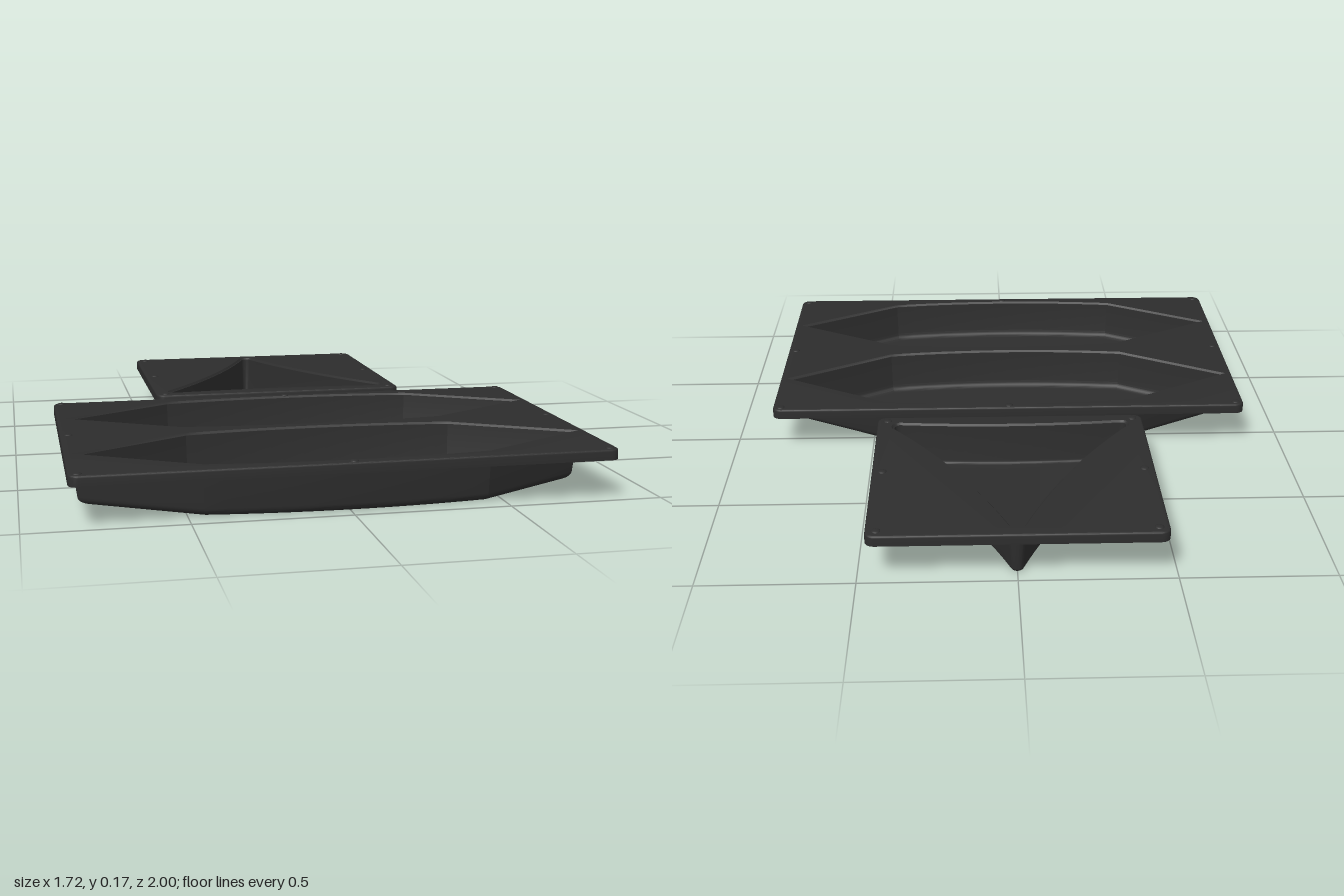
import * as THREE from 'three';
import { toCreasedNormals } from 'three/addons/utils/BufferGeometryUtils.js';

// Outlines are counter-clockwise plan points (x, y), where y is -z in the model.
const V = (x, y) => new THREE.Vector2(x, y);
const normalOf = (d) => V(d.y, -d.x).normalize();

// Moves an outline outward by d with mitred corners.
function offset(pts, d) {
  const n = pts.length;
  return pts.map((p, i) => {
    const a = normalOf(p.clone().sub(pts[(i + n - 1) % n]));
    const b = normalOf(pts[(i + 1) % n].clone().sub(p));
    const k = d / (1 + a.dot(b));
    return V(p.x + (a.x + b.x) * k, p.y + (a.y + b.y) * k);
  });
}

// Sweeps an outline through a profile of [offset, height], capping both ends.
function loft(outline, profile, holes = []) {
  const pos = [];
  const put = (p, h) => pos.push(p.x, h, -p.y);
  const rings = profile.map(([d]) => offset(outline, d));
  for (let k = 0; k + 1 < rings.length; k++) {
    const a = rings[k], b = rings[k + 1], ha = profile[k][1], hb = profile[k + 1][1];
    for (let i = 0; i < a.length; i++) {
      const j = (i + 1) % a.length;
      put(a[i], ha); put(a[j], ha); put(b[j], hb);
      put(a[i], ha); put(b[j], hb); put(b[i], hb);
    }
  }
  const cap = (ring, h, up) => {
    const all = [ring, ...holes].flat();
    for (const [i, j, k] of THREE.ShapeUtils.triangulateShape(ring.slice(), holes.map((q) => q.slice()))) {
      const area = all[j].clone().sub(all[i]).cross(all[k].clone().sub(all[i]));
      const tri = (area > 0) === up ? [i, j, k] : [i, k, j];
      tri.forEach((q) => put(all[q], h));
    }
  };
  cap(rings[0], profile[0][1], false);
  cap(rings[rings.length - 1], profile[profile.length - 1][1], true);
  const g = new THREE.BufferGeometry();
  g.setAttribute('position', new THREE.Float32BufferAttribute(pos, 3));
  return toCreasedNormals(g, 0.36);
}

// Quarter-round profile points about (cx, cy) from angle a0 to a1.
const fillet = (cx, cy, r, a0, a1) => Array.from({ length: 6 }, (_, i) => {
  const a = a0 + (a1 - a0) * i / 5;
  return [cx + r * Math.cos(a), cy + r * Math.sin(a)];
});

function roundedRect(w, d, cy, r) {
  const pts = [];
  [[1, -1], [1, 1], [-1, 1], [-1, -1]].forEach(([sx, sy], c) => {
    for (let i = 0; i <= 6; i++) {
      const a = (c - 1 + i / 6) * Math.PI / 2;
      pts.push(V(sx * (w / 2 - r) + r * Math.cos(a), cy + sy * (d / 2 - r) + r * Math.sin(a)));
    }
  });
  return pts;
}

// Pointed panel with gently bowed long sides.
function pointedOutline(cy) {
  const pts = [];
  for (const s of [1, -1]) {
    pts.push(V(-0.815 * s, cy));
    const curve = new THREE.QuadraticBezierCurve(
      V(-0.45 * s, cy - 0.21 * s), V(0, cy - 0.27 * s), V(0.45 * s, cy - 0.21 * s));
    pts.push(...curve.getPoints(14));
  }
  return pts;
}

// Triangle with hollow sides and rounded corners.
function triangleOutline() {
  const c = [V(-0.39, 0.245), V(0.39, 0.245), V(0, 0.93)];
  const bow = [0.02, 0.03, 0.03], r = 0.02;
  const curves = c.map((p, i) => {
    const q = c[(i + 1) % 3];
    const n = normalOf(q.clone().sub(p));
    const mid = p.clone().add(q).multiplyScalar(0.5).addScaledVector(n, -2 * bow[i]);
    return new THREE.QuadraticBezierCurve(p, mid, q);
  });
  const pts = [];
  curves.forEach((curve, i) => {
    for (let k = 0; k <= 14; k++) {
      pts.push(curve.getPoint(k / 14).addScaledVector(normalOf(curve.getTangent(k / 14)), r));
    }
    const a0 = normalOf(curve.getTangent(1)).angle();
    let a1 = normalOf(curves[(i + 1) % 3].getTangent(0)).angle();
    if (a1 < a0) a1 += Math.PI * 2;
    for (let k = 1; k < 9; k++) {
      const a = a0 + (a1 - a0) * k / 9;
      pts.push(V(c[(i + 1) % 3].x + r * Math.cos(a), c[(i + 1) % 3].y + r * Math.sin(a)));
    }
  });
  return pts;
}

const TOP = 0.165, RIM = 0.01;

export function createModel() {
  const model = new THREE.Group();
  model.name = 'mouldTrays';
  const black = new THREE.MeshStandardMaterial({ color: 0x2d2d2d });
  black.name = 'blackPlastic';

  const add = (parent, name, geometry) => {
    const mesh = new THREE.Mesh(geometry, black);
    mesh.name = name;
    parent.add(mesh);
    return mesh;
  };

  // Hollow pocket: outer wall upward, over the rim, then inner wall down to the floor.
  const pocketProfile = (r) => [
    ...fillet(0.002 - r, r, r, -Math.PI / 2, 0),
    [RIM, 0.15], [RIM, TOP],
    [0.004, 0.158], [0, 0.158],
    ...fillet(-0.006 - r, 0.015 + r, r, 0, -Math.PI / 2),
  ];

  // Sheet with a turned-down edge, open underneath.
  const sheetProfile = [
    [-0.012, 0.15], [-0.012, 0.13], [0, 0.13],
    ...fillet(-0.008, TOP - 0.008, 0.008, 0, Math.PI / 2),
  ];

  function tray(name, sheet, pockets, radius, studs) {
    const group = new THREE.Group();
    group.name = name;
    add(group, 'sheet', loft(sheet, sheetProfile, pockets.map((p) => offset(p, RIM))));
    pockets.forEach((p) => add(group, 'pocket', loft(p, pocketProfile(radius))));
    studs.forEach(([x, z]) => {
      const stud = add(group, 'stud', new THREE.SphereGeometry(0.015, 16, 6, 0, Math.PI * 2, 0, Math.PI / 2));
      stud.scale.y = 0.4;
      stud.position.set(x, TOP - 0.001, z);
    });
    model.add(group);
  }

  const grid = (xs, zs) => xs.flatMap((x) => zs.map((z) => [x, z]));

  tray('pairTray', roundedRect(1.716, 1.1, -0.45, 0.03),
    [pointedOutline(-0.18), pointedOutline(-0.715)], 0.025,
    [...grid([-0.83, 0.83], [-0.075, 0.45, 0.975]), [0, -0.08], [0, 0.98]]);

  tray('triangleTray', roundedRect(0.94, 0.83, 0.585, 0.03),
    [triangleOutline()], 0.012,
    grid([-0.435, 0.435], [-0.965, -0.58, -0.2]));

  return model;
}
